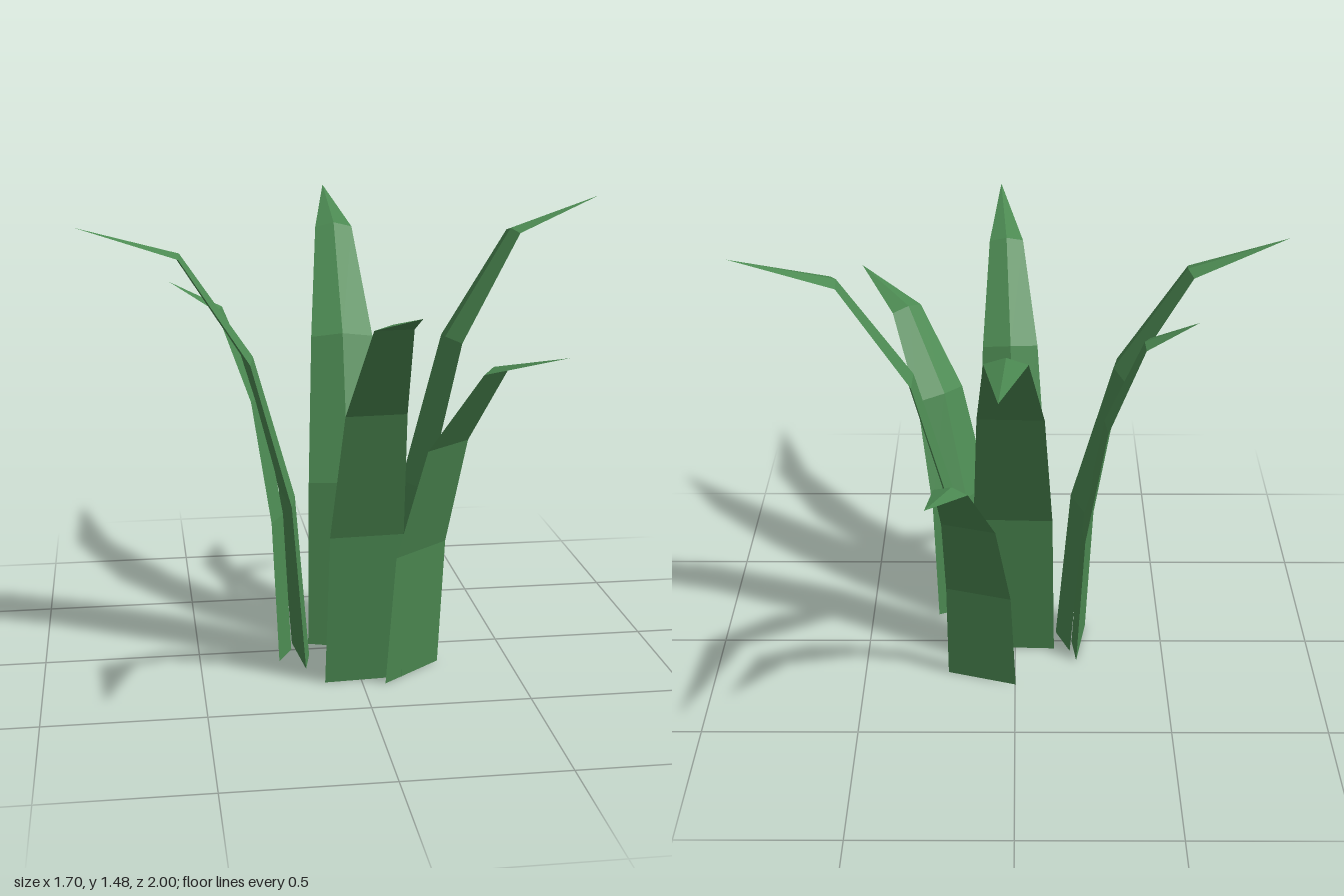
import * as THREE from 'three';

// Shared blade profile: [outward reach, height, width], as fractions of the blade's size
const PROFILE = [
  [0, 0, 1],
  [0.06, 0.38, 0.93],
  [0.24, 0.70, 0.75],
  [0.55, 0.93, 0.46],
  [1, 1, 0],
];
const RIDGE = 0.15; // height of the inner ridge relative to blade width

// name, base x, base z, tip x, tip y, tip z, base width
const BLADES = [
  ['backBlade', 0.005, -0.04, 0.04, 1.435, -1.0, 0.275],
  ['leftBlade', 0.18, 0.0, 0.85, 1.475, -0.155, 0.22],
  ['rightBlade', -0.175, 0.055, -0.85, 1.435, 0.12, 0.23],
  ['rightShortBlade', -0.225, -0.01, -0.565, 1.235, -0.07, 0.21],
  ['frontBlade', 0.008, 0.28, 0.053, 1.297, 1.0, 0.25],
  ['frontLeftBlade', 0.17, 0.24, 0.535, 1.113, 0.68, 0.256],
  ['backLeftBlade', 0.11, -0.215, 0.255, 0.937, -0.69, 0.235],
];

// Arching blade with a flat outer side and a ridge along the inner side
function bladeGeometry(bx, bz, tx, ty, tz, width) {
  const base = new THREE.Vector3(bx, 0, bz);
  const reach = new THREE.Vector3(tx - bx, 0, tz - bz);
  const out = reach.clone().normalize();
  const up = new THREE.Vector3(0, 1, 0);
  const side = up.clone().cross(out);
  const spine = PROFILE.map(([r, h]) =>
    base.clone().addScaledVector(reach, r).addScaledVector(up, h * ty));

  const rings = spine.map((p, i) => {
    const w = width * PROFILE[i][2];
    const tangent = spine[Math.min(i + 1, spine.length - 1)].clone()
      .sub(spine[Math.max(i - 1, 0)]).normalize();
    // the base ring stays level on the ground
    const inward = i === 0 ? out.clone().negate() : side.clone().cross(tangent).negate();
    if (inward.dot(out) > 0) inward.negate();
    return [
      p.clone().addScaledVector(side, -w / 2),
      p.clone().addScaledVector(side, w / 2),
      p.clone().addScaledVector(inward, w * RIDGE),
    ];
  });

  const points = [rings[0][0], rings[0][2], rings[0][1]]; // bottom cap
  for (let i = 0; i < rings.length - 1; i++) {
    const a = rings[i], b = rings[i + 1];
    for (let j = 0; j < 3; j++) {
      const k = (j + 1) % 3;
      points.push(a[j], a[k], b[k]);
      if (i < rings.length - 2) points.push(a[j], b[k], b[j]); // last span closes to a point
    }
  }
  const geometry = new THREE.BufferGeometry().setFromPoints(points);
  geometry.computeVertexNormals(); // unshared corners give flat faces
  return geometry;
}

export function createModel() {
  const group = new THREE.Group();
  group.name = 'grassTuft';
  const leafGreen = new THREE.MeshStandardMaterial({ color: 0x4c8a52 });
  leafGreen.name = 'leafGreen';
  for (const [name, ...size] of BLADES) {
    const blade = new THREE.Mesh(bladeGeometry(...size), leafGreen);
    blade.name = name;
    group.add(blade);
  }
  return group;
}
